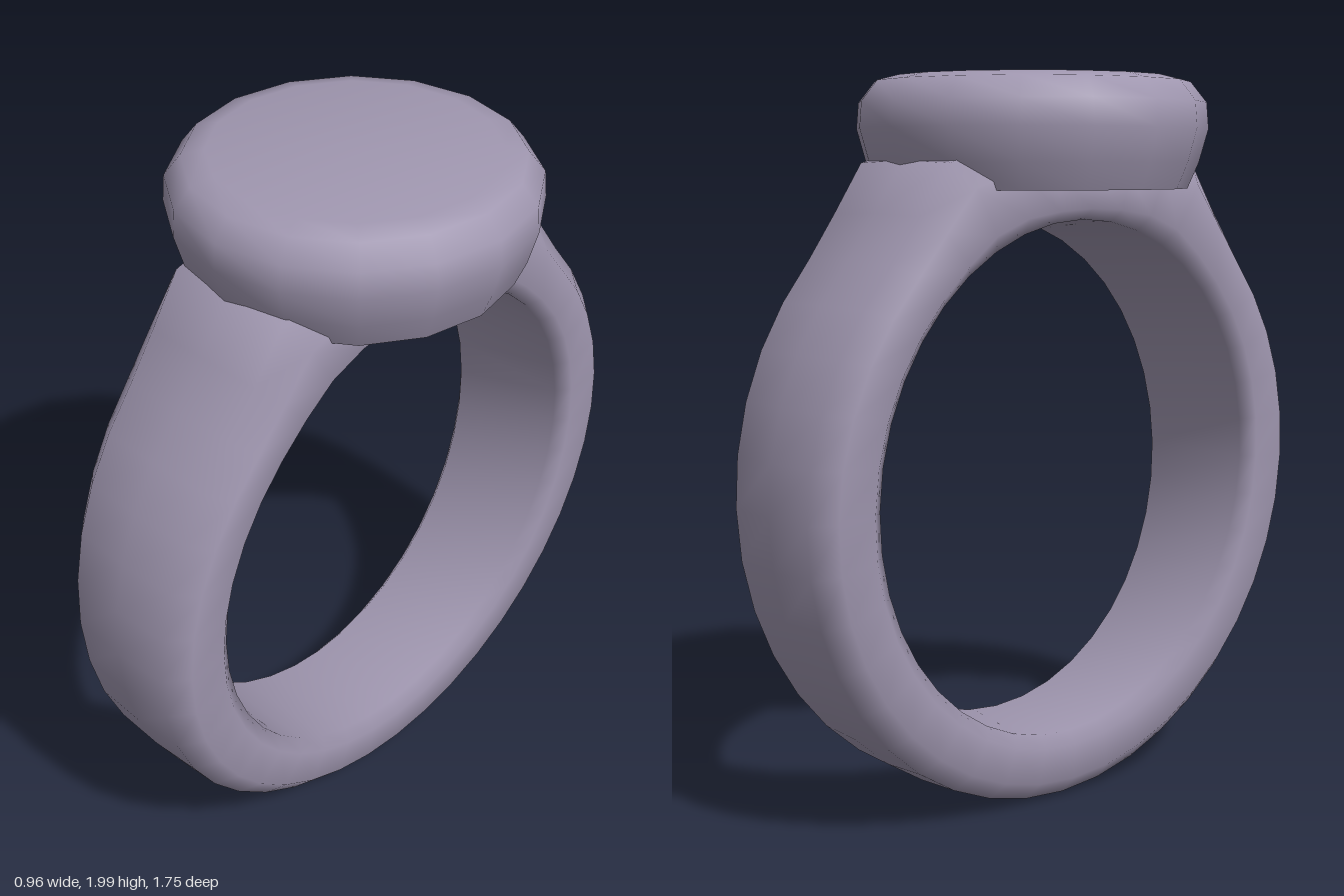
import * as THREE from 'three';
import { toCreasedNormals } from 'three/addons/utils/BufferGeometryUtils.js';

// Band cross-section: [share of half width, share of thickness from inside to outside]
const SECTION = [[-0.85, 0], [0.85, 0], [1, 0.18], [1, 0.7], [0.74, 0.97],
  [0, 1], [-0.74, 0.97], [-1, 0.7], [-1, 0.18]];

function bandGeometry(steps = 40) {
  const n = SECTION.length, pos = [], index = [];
  for (let i = 0; i < steps; i++) {
    const a = (i / steps) * Math.PI * 2; // 0 at the top, turning towards the front
    const fromTop = Math.min(a, Math.PI * 2 - a);
    // shoulders swell where the band meets the bezel
    const swell = 0.11 * Math.exp(-(((fromTop - 0.42) / 0.2) ** 2));
    const c = Math.cos(a), s = Math.sin(a);
    const inner = [0.91 + 0.71 * c, 0.665 * s];
    const outer = [0.895 + (0.885 + swell) * c, (0.875 + swell) * s];
    for (const [u, t] of SECTION) {
      const y = inner[0] + (outer[0] - inner[0]) * t;
      const z = inner[1] + (outer[1] - inner[1]) * t;
      pos.push(u * (0.175 + 0.042 * y), y, z); // band narrows towards the bottom
    }
    const k = (i + 1) % steps;
    for (let j = 0; j < n; j++) {
      const m = (j + 1) % n;
      index.push(i * n + j, i * n + m, k * n + m, i * n + j, k * n + m, k * n + j);
    }
  }
  const g = new THREE.BufferGeometry();
  g.setAttribute('position', new THREE.Float32BufferAttribute(pos, 3));
  g.setIndex(index);
  g.computeVertexNormals();
  return g;
}

function bezelGeometry() {
  const profile = [[0, 1.7], [0.425, 1.7], [0.455, 1.77], [0.48, 1.86],
    [0.474, 1.93], [0.43, 1.985], [0.37, 2], [0, 2]].map(([r, y]) => new THREE.Vector2(r, y));
  return toCreasedNormals(new THREE.LatheGeometry(profile, 16), 0.75);
}

export function createModel() {
  const metal = new THREE.MeshStandardMaterial({ color: 0xa097b0 });
  metal.name = 'dull violet metal';

  const ring = new THREE.Group();
  ring.name = 'signetRing';

  const band = new THREE.Mesh(bandGeometry(), metal);
  band.name = 'band';

  // round flat-topped plate
  const bezel = new THREE.Mesh(bezelGeometry(), metal);
  bezel.name = 'bezel';

  ring.add(band, bezel);
  return ring;
}
